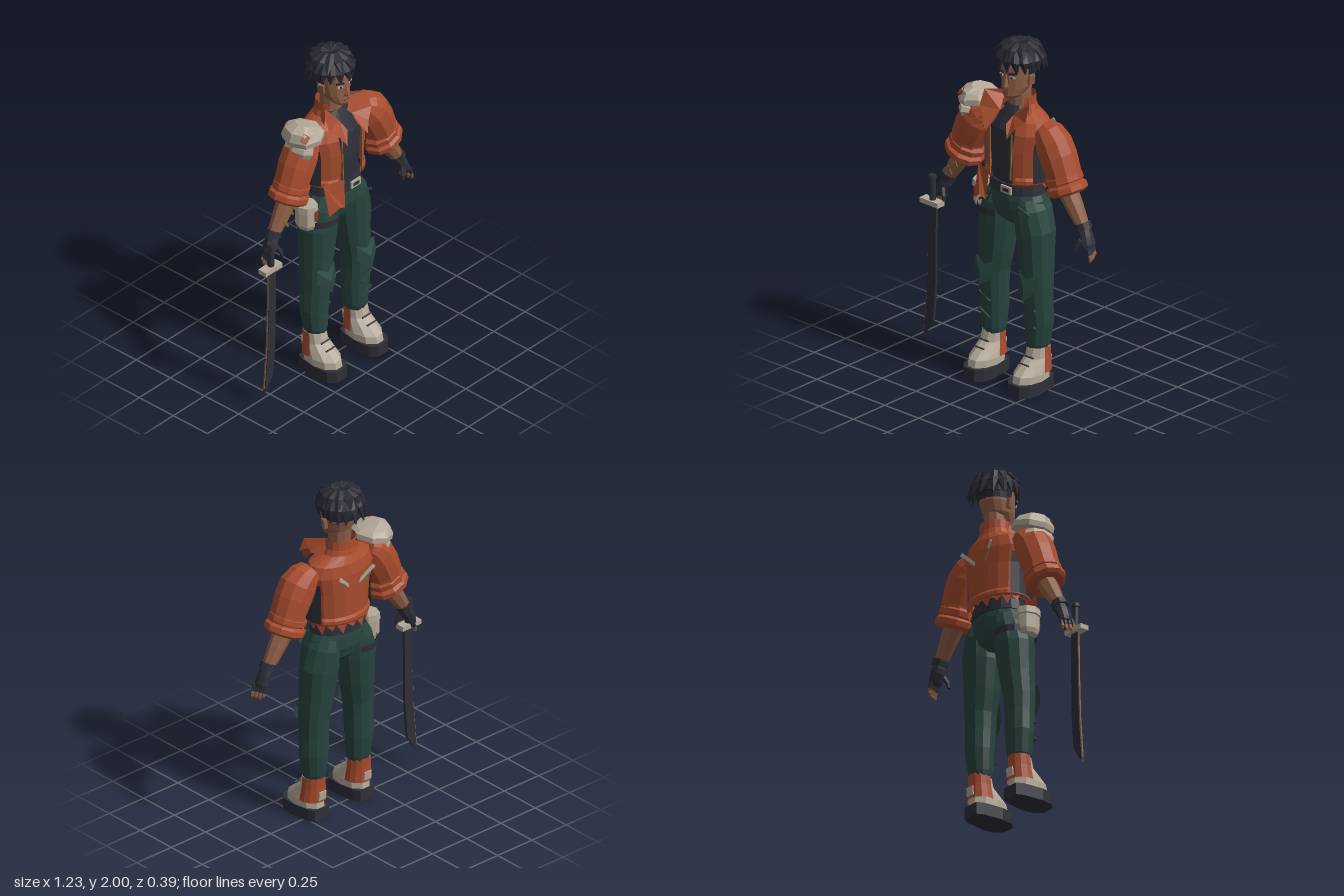
import * as THREE from 'three';

const mat = (name, color) => {
  const m = new THREE.MeshStandardMaterial({ color, flatShading: true, side: THREE.DoubleSide });
  m.name = name;
  return m;
};

// Skin through rings [x, y, z, r, rz]; each ring is square to the path in xy, its second axis is z.
function loft(rings, n = 10, from = 0, to = 360) {
  const closed = to - from >= 360, pos = [];
  const pts = rings.map(([x, y, z, r, rz = r], i) => {
    const a = rings[Math.max(i - 1, 0)], b = rings[Math.min(i + 1, rings.length - 1)];
    const l = Math.hypot(b[0] - a[0], b[1] - a[1]);
    const ux = (b[1] - a[1]) / l, uy = -(b[0] - a[0]) / l;
    return Array.from({ length: n + 1 }, (_, j) => {
      const t = THREE.MathUtils.degToRad(from + (to - from) * j / n), c = Math.cos(t) * r;
      return [x + ux * c, y + uy * c, z + Math.sin(t) * rz];
    });
  });
  const last = rings.length - 1;
  for (let j = 0; j < n; j++) {
    for (let i = 0; i < last; i++) {
      const a = pts[i][j], b = pts[i + 1][j], c = pts[i + 1][j + 1], d = pts[i][j + 1];
      pos.push(...a, ...b, ...d, ...b, ...c, ...d);
    }
    if (closed) {
      pos.push(...rings[0].slice(0, 3), ...pts[0][j], ...pts[0][j + 1]);
      pos.push(...rings[last].slice(0, 3), ...pts[last][j + 1], ...pts[last][j]);
    }
  }
  return soup(pos);
}

function soup(pos) {
  const g = new THREE.BufferGeometry();
  g.setAttribute('position', new THREE.Float32BufferAttribute(pos, 3));
  g.computeVertexNormals();
  return g;
}

// Flat or folded cloth panel, fanned from its first corner
function panel(p) {
  const pos = [];
  for (let i = 1; i < p.length - 1; i++) pos.push(...p[0], ...p[i], ...p[i + 1]);
  return soup(pos);
}

export function createModel() {
  const root = new THREE.Group(), body = new THREE.Group();
  root.name = 'swordsman'; body.name = 'body';
  body.position.x = 0.025;
  root.add(body);

  const orange = mat('rust jacket', 0xa84c2e), green = mat('green cloth', 0x28443f);
  const dark = mat('charcoal', 0x2e2f38), hairMat = mat('black hair', 0x262731);
  const skin = mat('skin', 0x8f5f47), cream = mat('bone', 0xb4a998);
  const gold = mat('brass', 0x8a6836), red = mat('red patch', 0x8f3a22);

  const add = (name, geo, m, parent = body) => {
    const o = new THREE.Mesh(geo, m);
    o.name = name;
    parent.add(o);
    return o;
  };
  const box = (name, m, size, p, r = [0, 0, 0], parent = body) => {
    const o = add(name, new THREE.BoxGeometry(...size), m, parent);
    o.position.set(...p); o.rotation.set(...r);
    return o;
  };

  // Torso
  add('shirt', loft([[0, 1.14, -.01, .15, .11], [0, 1.35, -.01, .165, .12], [0, 1.5, -.015, .18, .115],
    [0, 1.58, -.025, .12, .085], [0, 1.63, -.03, .065, .065]], 14), dark);
  add('jacket', loft([[0, 1.2, -.01, .185, .132], [0, 1.25, -.01, .188, .135], [0, 1.4, -.01, .198, .142],
    [0, 1.5, -.015, .22, .137], [0, 1.565, -.025, .195, .115], [0, 1.61, -.035, .11, .085]], 16, 114, 426), orange);
  add('jacketHem', loft([[0, 1.2, -.01, .188, .137], [0, 1.215, -.01, .2, .146], [0, 1.235, -.01, .2, .146],
    [0, 1.25, -.01, .189, .137]], 16, 120, 420), orange);
  add('jacketCollar', loft([[0, 1.59, -.035, .115, .09], [0, 1.64, -.035, .092, .08], [0, 1.69, -.035, .09, .078]],
    12, 140, 400), orange);
  add('flap', panel([[-.195, 1.25, .09], [-.075, 1.25, .135], [-.085, 1.08, .15], [-.13, 1.1, .155], [-.19, 1.06, .13]]), orange);
  for (let i = 0; i < 9; i++) {
    const at = (d, y) => {
      const t = THREE.MathUtils.degToRad(d);
      return [Math.cos(t) * .192, y, -.01 + Math.sin(t) * .14];
    };
    const d = 185 + i * 20;
    add('tornHem', panel([at(d, 1.21), at(d + 20, 1.21), at(d + 7, i % 2 ? 1.15 : 1.175)]), orange);
  }
  for (const s of [-1, 1]) {
    add('lapel', panel([[s * .05, 1.6, .075], [s * .085, 1.66, 0], [s * .165, 1.69, .075], [s * .17, 1.6, .11],
      [s * .115, 1.55, .14], [s * .08, 1.49, .165], [s * .04, 1.56, .125]]), orange);
    add('lapelBack', panel([[s * .07, 1.69, -.01], [s * .165, 1.69, .075], [s * .14, 1.6, .05], [s * .1, 1.6, -.03]]), orange);
    add('sidePanel', loft([[0, 1.22, -.01, .203, .148], [0, 1.4, -.01, .203, .147], [0, 1.46, -.01, .213, .143]], 3,
      s > 0 ? -28 : 152, s > 0 ? 28 : 208), dark);
    box('zip', gold, [.006, .27, .008], [s * .077, 1.37, .124], [-.02, 0, -s * .02]);
    box('backStripe', cream, [.125, .022, .006], [s * .08, 1.475, -.157], [0, s * .3, s * .75]);
    box('backStripeTrim', gold, [.09, .008, .006], [s * .068, 1.45, -.16], [0, s * .3, s * .75]);
  }

  // Waist
  add('hips', loft([[0, .94, -.01, .06, .06], [0, .98, -.01, .16, .1], [0, 1.04, -.01, .202, .118],
    [0, 1.1, -.01, .19, .12], [0, 1.15, -.01, .16, .115]], 14), green);
  add('belt', loft([[0, 1.135, -.01, .176, .126], [0, 1.195, -.01, .168, .122]], 16), dark);
  box('buckle', cream, [.075, .042, .012], [.035, 1.165, .117]);
  box('buckleCentre', dark, [.045, .02, .008], [.035, 1.165, .121]);
  add('pouch', loft([[-.235, .965, 0, .045, .055], [-.235, .99, 0, .055, .065], [-.235, 1.07, 0, .055, .065],
    [-.235, 1.075, 0, .062, .072], [-.235, 1.115, 0, .058, .068]], 8), cream);
  box('pouchTab', red, [.022, .06, .006], [-.232, 1.06, .073]);
  add('thighStrap', loft([[-.135, .965, -.01, .118, .122], [-.133, 1.005, -.01, .118, .124]], 12, 60, 300), dark);

  // Legs and boots
  for (const s of [-1, 1]) {
    add('trouserLeg', loft([[s * .155, .235, 0, .058, .06], [s * .16, .27, 0, .07, .07], [s * .165, .4, -.005, .085, .08],
      [s * .162, .52, 0, .084, .085], [s * .16, .62, 0, .088, .09], [s * .145, .75, -.005, .1, .1],
      [s * .133, .92, -.01, .115, .113], [s * .115, 1.04, -.01, .095, .116], [s * .1, 1.1, -.01, .075, .1]], 12), green);
    add('kneePad', panel([[s * .16, .61, .118], [s * .09, .69, .075], [s * .23, .69, .075], [s * .235, .61, .085],
      [s * .16, .54, .125], [s * .085, .6, .085], [s * .09, .69, .075]]), green);
    box('pocket', green, [.09, .012, .012], [s * .15, 1.06, .103], [0, s * .3, -s * .55]);
    for (const y of [.36, .46])
      box('trouserFold', green, [.09, .012, .012], [s * .165, y, .076], [0, 0, s * .5]);

    const boot = new THREE.Group();
    boot.name = 'boot'; boot.position.x = s * .165;
    body.add(boot);
    const o = new THREE.Shape();
    o.moveTo(-.05, .07);
    for (const [x, z] of [[-.07, .03], [-.085, -.09], [-.075, -.16], [-.04, -.2], [.04, -.2], [.075, -.16], [.085, -.09],
      [.07, .03], [.05, .07]]) o.lineTo(x, z);
    add('sole', new THREE.ExtrudeGeometry(o, { depth: .07, bevelEnabled: false }), dark, boot).rotation.x = -Math.PI / 2;
    add('bootUpper', loft([[0, .07, .06, .08, .128], [0, .11, .058, .08, .12], [0, .15, .035, .072, .093],
      [0, .19, .01, .064, .07], [0, .25, 0, .062, .063]], 10), cream, boot);
    add('heelGuard', loft([[0, .11, .01, .078, .08], [0, .19, .004, .068, .071], [0, .255, 0, .066, .068]], 8, 165, 375), orange, boot);
    box('heelTab', cream, [.05, .05, .008], [0, .15, -.072], [-.1, 0, 0], boot);
    for (const [y, z] of [[.165, .116], [.2, .081]])
      box('lace', dark, [.07, .008, .008], [0, y, z], [-.6, 0, 0], boot);
  }

  // Arms and hands
  for (const s of [-1, 1]) {
    add('sleeve', loft([[s * .2, 1.54, -.01, .06, .07], [s * .235, 1.52, -.005, .085, .09], [s * .275, 1.475, 0, .108, .103],
      [s * .31, 1.41, 0, .108, .105], [s * .345, 1.33, 0, .1, .1], [s * .365, 1.27, 0, .1, .098]], 10), orange);
    for (const [x, y, r] of [[.352, 1.29, .112], [.374, 1.24, .12]])
      add('rolledCuff', loft([[s * (x - .012), y + .028, 0, r - .02, r - .025], [s * (x - .006), y + .014, 0, r, r - .008],
        [s * (x + .006), y - .014, 0, r, r - .008], [s * (x + .012), y - .028, 0, r - .02, r - .025]], 10), orange);
    add('forearm', loft([[s * .365, 1.25, 0, .062, .056], [s * .43, 1.15, 0, .052, .048], [s * .505, 1.03, 0, .034, .034]], 8), skin);
    add('gloveCuff', loft([[s * .488, 1.07, 0, .046, .044], [s * .503, 1.035, 0, .048, .044]], 8), dark);
    add('glove', loft([[s * .5, 1.045, 0, .032, .034], [s * .518, 1, .002, .036, .042], [s * .54, .955, .004, .03, .045],
      [s * .548, .935, .004, .022, .04]], 8), dark);
    for (let i = 0; i < 4; i++) {
      const z = -.028 + i * .021, x = .535 + i * .008, d = i === 0 ? .012 : 0;
      add('gloveFinger', loft([[s * x, .95, z, .012], [s * (x + .012), .912, z, .012]], 6), dark);
      add('fingertip', loft([[s * (x + .012), .913, z, .01], [s * (x + .02), .885 + d, z, .009], [s * (x + .018), .872 + d, z, .005]], 6), skin);
    }
    add('thumb', loft([[s * .51, .985, .035, .016], [s * .49, .945, .05, .014], [s * .484, .915, .052, .008]], 6), dark);
  }
  for (const [x, y, a] of [[-.405, 1.17, .5], [-.43, 1.145, -.7], [-.445, 1.11, .5]])
    box('forearmMark', gold, [.012, .055, .005], [x, y, .049], [0, 0, a]);

  // Shoulder armour
  const armour = new THREE.Group();
  armour.name = 'shoulderArmour';
  armour.position.set(-.262, 1.575, .005); armour.rotation.z = .15;
  body.add(armour);
  add('shoulderDome', loft([[0, 0, 0, .106, .124], [0, .03, 0, .108, .126], [0, .062, 0, .088, .1], [.01, .082, 0, .04, .05]], 8), cream, armour);
  add('lowerPlate', loft([[-.06, -.075, .01, .05, .085], [-.052, -.045, .01, .058, .1], [-.045, -.02, .01, .05, .09]], 8), cream, armour);
  box('armourPatch', red, [.045, .008, .04], [-.06, .06, .075], [.5, .3, .4], armour);

  // Head and face
  add('neck', loft([[0, 1.58, -.035, .07, .065], [0, 1.66, -.03, .062, .062], [0, 1.76, -.03, .062, .07]], 10), skin);
  add('head', loft([[0, 1.685, .04, .035, .038], [0, 1.705, .025, .056, .064], [0, 1.75, -.008, .08, .092],
    [0, 1.81, -.018, .09, .1], [0, 1.87, -.02, .092, .1], [0, 1.93, -.025, .078, .088], [0, 1.965, -.03, .04, .05]], 14), skin);
  add('nose', loft([[0, 1.745, .078, .016, .018], [0, 1.758, .083, .018, .022], [0, 1.825, .075, .008, .01]], 6), skin);
  box('mouth', red, [.04, .006, .006], [0, 1.722, .085]);
  for (const s of [-1, 1]) {
    box('eye', cream, [.032, .012, .006], [s * .04, 1.815, .074], [0, s * .35, 0]);
    box('iris', dark, [.012, .012, .006], [s * .038, 1.815, .077], [0, s * .35, 0]);
    box('eyebrow', hairMat, [.046, .01, .008], [s * .042, 1.838, .075], [0, s * .35, s * .15]);
    box('ear', skin, [.02, .055, .035], [s * .097, 1.795, -.015], [0, -s * .3, -s * .15]);
  }

  // Hair: a cap with two layers of swept tufts
  const hair = new THREE.Group();
  hair.name = 'hair'; hair.position.set(0, 0, -.035);
  body.add(hair);
  add('hairCap', loft([[0, 1.86, -.008, .1, .1], [0, 1.9, 0, .106, .108], [0, 1.95, 0, .09, .095], [0, 1.98, 0, .045, .05]], 12), hairMat, hair);
  add('sideHair', loft([[0, 1.82, .01, .094, .105], [0, 1.88, .01, .1, .112]], 10, 165, 375), hairMat, hair);
  const wob = i => Math.sin(i * 12.9) * .5 + Math.sin(i * 5.3) * .5;
  for (let i = 0; i < 28; i++) {
    const low = i < 16, a = (low ? i / 16 : (i - 15.5) / 12) * Math.PI * 2;
    const w = wob(i + 1) * .012, back = Math.max(0, Math.sin(a)), drop = back * .03;
    const path = low
      ? [[.03, 1.955, 0, .02, .03], [.09, 1.945, 0, .024, .036], [.12, 1.905, w, .02, .03], [.132 + w + back * .01, 1.85 - drop + w, w * 2, .003]]
      : [[.005, 1.965, 0, .02, .03], [.05, 1.978 + w * .4, 0, .019, .034], [.1, 1.96, w, .018, .027], [.138 + w, 1.91 - drop + w, w * 2, .003]];
    add('hairTuft', loft(path, 6), hairMat, hair).rotation.y = a;
  }

  // Sword in the right hand
  const sword = new THREE.Group();
  sword.name = 'sword'; sword.position.z = .05;
  root.add(sword);
  const blade = new THREE.Shape();
  blade.moveTo(-.568, .88);
  for (const [x, y] of [[-.572, .6], [-.58, .35], [-.602, .085], [-.535, .18], [-.518, .4], [-.513, .88]]) blade.lineTo(x, y);
  add('blade', new THREE.ExtrudeGeometry(blade, { depth: .016, bevelEnabled: false }), dark, sword).position.z = -.008;
  for (const [y, x, l, r] of [[.73, -.571, .29, -.015], [.47, -.578, .24, -.035], [.23, -.593, .24, -.085]])
    box('bladeEdge', gold, [.005, l, .008], [x, y, 0], [0, 0, r], sword);
  box('guard', cream, [.135, .028, .055], [-.55, .885, 0], [0, 0, 0], sword);
  add('handle', loft([[-.545, .89, 0, .018], [-.546, 1.02, 0, .018], [-.546, 1.025, 0, .024], [-.546, 1.045, 0, .022]], 8), dark, sword);
  return root;
}
